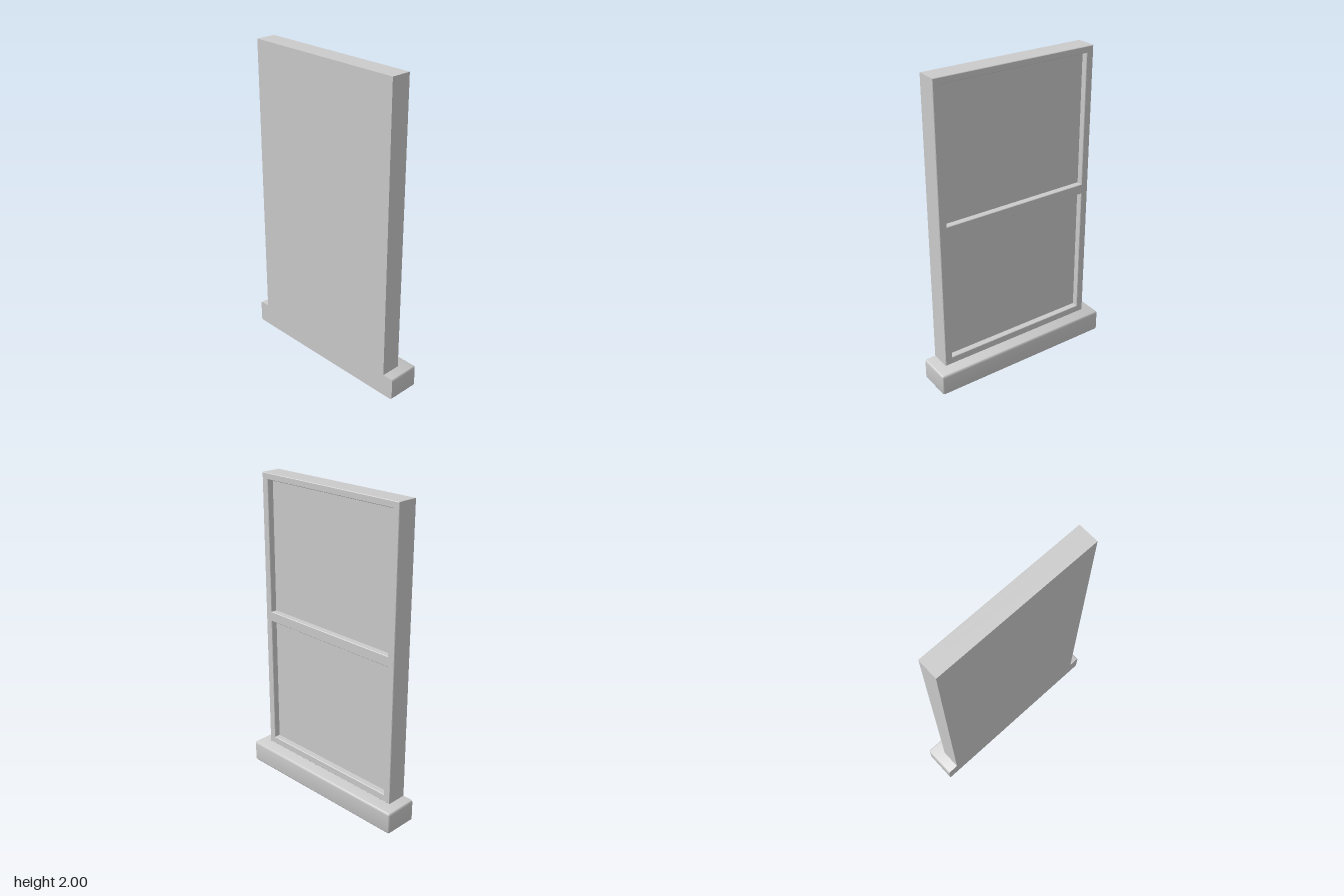
import * as THREE from 'three';
import { toCreasedNormals } from 'three/addons/utils/BufferGeometryUtils.js';
import { RoundedBoxGeometry } from 'three/addons/geometries/RoundedBoxGeometry.js';

const BACK = -0.107, FRONT = 0.025, GLASS = -0.015, SILL_FRONT = 0.107;
const SILL_TOP = 0.145, HALF = 0.545, PANE_HALF = 0.497;

// Traces a rectangle, centred on the vertical axis, into a Shape or Path
function rect(path, half, y0, y1) {
  path.moveTo(-half, y0);
  path.lineTo(half, y0);
  path.lineTo(half, y1);
  path.lineTo(-half, y1);
  path.closePath();
  return path;
}

export function createModel() {
  const group = new THREE.Group();
  group.name = 'window';
  const material = new THREE.MeshStandardMaterial({ color: 0xcccccc });
  const add = (name, geometry) => {
    const mesh = new THREE.Mesh(geometry, material);
    mesh.name = name;
    group.add(mesh);
    return mesh;
  };

  // Solid backing whose front face forms both recessed panes
  add('panes', new THREE.BoxGeometry(GLASS - BACK, 2 - SILL_TOP, HALF * 2))
    .position.set((GLASS + BACK) / 2, (2 + SILL_TOP) / 2, 0);

  // Outer frame and middle rail, with a fine bevel on the front edges
  const shape = rect(new THREE.Shape(), HALF, SILL_TOP, 2);
  for (const [y0, y1] of [[0.193, 1.045], [1.11, 1.96]]) {
    shape.holes.push(rect(new THREE.Path(), PANE_HALF, y0, y1));
  }
  const bevel = 0.003, start = GLASS - 0.006;
  const frame = new THREE.ExtrudeGeometry(shape, {
    depth: FRONT - start - 2 * bevel,
    bevelThickness: bevel, bevelSize: bevel, bevelOffset: -bevel, bevelSegments: 1,
  });
  frame.translate(0, 0, start + bevel).rotateY(Math.PI / 2);
  add('frame', frame);

  // Sill: rounded box with its rear rounding flattened against the wall plane
  const r = 0.015;
  const sill = new RoundedBoxGeometry(SILL_FRONT - BACK + r, SILL_TOP, 1.235, 4, r);
  sill.translate((SILL_FRONT + BACK - r) / 2, SILL_TOP / 2, 0);
  const p = sill.attributes.position;
  for (let i = 0; i < p.count; i++) p.setX(i, Math.max(BACK, p.getX(i)));
  add('sill', toCreasedNormals(sill, 0.7));

  return group;
}
